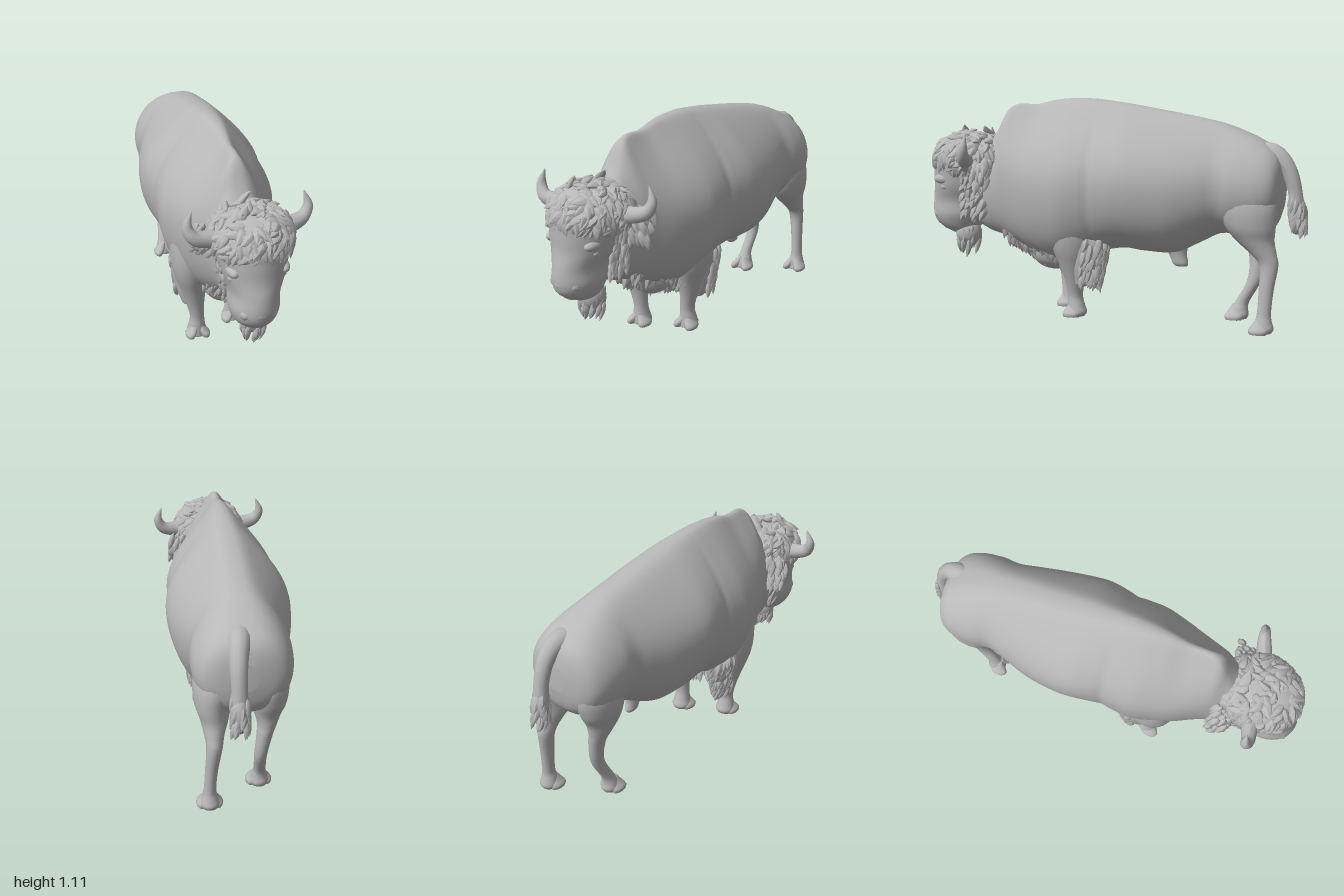
import * as THREE from 'three';
import { mergeGeometries } from 'three/addons/utils/BufferGeometryUtils.js';

const V = (x, y, z) => new THREE.Vector3(x, y, z);

export function createModel() {
  const model = new THREE.Group();
  model.name = 'bison';
  const grey = new THREE.MeshStandardMaterial({ color: 0xb8b8b8 });
  grey.name = 'stone grey';

  let seed = 7;
  const rnd = (a = 0, b = 1) => {
    seed = (seed * 16807) % 2147483647;
    return a + (b - a) * (seed / 2147483647);
  };
  const add = (name, geometry, parent = model) => {
    const mesh = new THREE.Mesh(geometry, grey);
    mesh.name = name;
    parent.add(mesh);
    return mesh;
  };

  // Catmull-Rom through rows of numbers
  const refine = (keys, n = 5) => {
    const out = [];
    for (let i = 0; i < keys.length - 1; i++) {
      const [a, b, c, d] = [keys[Math.max(i - 1, 0)], keys[i], keys[i + 1], keys[Math.min(i + 2, keys.length - 1)]];
      for (let k = 0; k < n; k++) {
        const t = k / n;
        out.push(b.map((_, j) => b[j] + 0.5 * t * (c[j] - a[j] + t * (2 * a[j] - 5 * b[j] + 4 * c[j] - d[j]
          + t * (3 * (b[j] - c[j]) + d[j] - a[j])))));
      }
    }
    out.push(keys[keys.length - 1]);
    return out;
  };

  // closed skin over rings of points, with both ends capped
  const skin = (rings) => {
    const n = rings[0].length, pos = [], idx = [], last = (rings.length - 1) * n;
    rings.flat().forEach((p) => pos.push(p.x, p.y, p.z));
    for (const r of [rings[0], rings[rings.length - 1]]) {
      const c = r.reduce((s, p) => s.add(p), V(0, 0, 0)).divideScalar(n);
      pos.push(c.x, c.y, c.z);
    }
    for (let j = 0; j < n; j++) {
      const k = (j + 1) % n;
      for (let i = 0; i < last; i += n) idx.push(i + j, i + n + j, i + k, i + k, i + n + j, i + n + k);
      idx.push(last + n, j, k, last + n + 1, last + k, last + j);
    }
    const g = new THREE.BufferGeometry();
    g.setAttribute('position', new THREE.Float32BufferAttribute(pos, 3));
    g.setIndex(idx);
    g.computeVertexNormals();
    return g;
  };

  // upright loft: rows are y, x, z, half width, half depth
  const column = (keys, n = 20) => skin(refine(keys).map(([y, x, z, rx, rz]) =>
    Array.from({ length: n }, (_, j) => {
      const a = (j / n) * Math.PI * 2;
      return V(x + rx * Math.cos(a), y, z - rz * Math.sin(a));
    })));

  // tube along a curve with a changing radius
  const taper = (points, radii, seg = 20, sides = 12) => {
    const curve = new THREE.CatmullRomCurve3(points.map((p) => V(...p)));
    const g = new THREE.TubeGeometry(curve, seg, 1, sides);
    const p = g.attributes.position, v = V();
    for (let i = 0; i < p.count; i++) {
      const t = Math.floor(i / (sides + 1)) / seg, f = t * (radii.length - 1);
      const k = Math.min(Math.floor(f), radii.length - 2);
      const c = curve.getPointAt(t);
      v.fromBufferAttribute(p, i).sub(c).multiplyScalar(THREE.MathUtils.lerp(radii[k], radii[k + 1], f - k)).add(c);
      p.setXYZ(i, v.x, v.y, v.z);
    }
    g.computeVertexNormals();
    return g;
  };

  const ball = (x, y, z, rx, ry, rz) =>
    new THREE.SphereGeometry(1, 20, 14).scale(rx, ry, rz).translate(x, y, z);

  // one curled, flattened clump of hair rooted at p, lying along d, facing n
  const lockShape = new THREE.LatheGeometry([[0, -0.15], [0.75, 0.02], [1, 0.35], [0.65, 0.72], [0, 1]]
    .map((p) => new THREE.Vector2(...p)), 7);
  const lp = lockShape.attributes.position;
  for (let i = 0; i < lp.count; i++) lp.setX(i, lp.getX(i) + lp.getY(i) ** 2);
  lockShape.computeVertexNormals();
  const lock = (p, d, n, w, len, thick) => {
    const y = d.clone().normalize(), x = y.clone().cross(n).normalize(), z = x.clone().cross(y);
    const m = new THREE.Matrix4().makeBasis(x, y, z).setPosition(p);
    return lockShape.clone().scale(w * rnd(0.75, 1.05), len, thick).applyMatrix4(m);
  };

  // trunk and neck: rows are z, bottom, top, half width, steepness of the back
  const trunk = [
    [0.76, 0.47, 0.84, 0.09, 0], [0.66, 0.42, 0.89, 0.12, 0.05], [0.61, 0.405, 0.96, 0.135, 0.25],
    [0.56, 0.39, 1.055, 0.155, 0.5], [0.5, 0.365, 1.088, 0.18, 0.72], [0.4, 0.32, 1.087, 0.225, 0.75],
    [0.3, 0.29, 1.11, 0.258, 0.7], [0.2, 0.29, 1.12, 0.282, 0.65], [0.1, 0.315, 1.12, 0.28, 0.6],
    [0.05, 0.335, 1.116, 0.274, 0.57], [0, 0.355, 1.11, 0.286, 0.56], [-0.1, 0.37, 1.097, 0.304, 0.53],
    [-0.2, 0.36, 1.08, 0.303, 0.5], [-0.35, 0.36, 1.055, 0.28, 0.44], [-0.48, 0.42, 1.03, 0.245, 0.37],
    [-0.57, 0.465, 1.01, 0.222, 0.3], [-0.66, 0.47, 0.98, 0.232, 0.24], [-0.76, 0.48, 0.935, 0.224, 0.12],
    [-0.83, 0.52, 0.89, 0.195, 0.05], [-0.865, 0.57, 0.84, 0.14, 0], [-0.882, 0.65, 0.77, 0.05, 0]];
  add('body', skin(refine(trunk).map(([z, b, t, w, f]) => Array.from({ length: 56 }, (_, j) => {
    const a = (j / 56) * Math.PI * 2, c = Math.cos(a), s = Math.sin(a), mid = b + 0.48 * (t - b);
    const k = Math.abs(c), side = s > 0 ? f * k ** 3.3 + (1 - f) * k ** 0.75 : k ** 0.85;
    return V(Math.sign(c) * w * side - 0.008, mid + s * (s > 0 ? t - mid : mid - b), z);
  }))));
  add('sheath', column([[0.42, 0, -0.33, 0.05, 0.08], [0.35, 0, -0.35, 0.032, 0.048],
    [0.3, 0, -0.365, 0.027, 0.04], [0.285, 0, -0.37, 0.016, 0.028]]));

  // legs, each ending in a flared cloven hoof
  const leg = (name, keys) => {
    const g = new THREE.Group();
    g.name = name;
    model.add(g);
    add('limb', column(keys), g);
    const [, x, z] = keys[keys.length - 1];
    for (const s of [-1, 1]) {
      add('toe', column([[0.085, x + s * 0.008, z + 0.005, 0.016, 0.025], [0.055, x + s * 0.02, z + 0.013, 0.023, 0.036],
        [0.03, x + s * 0.035, z + 0.018, 0.027, 0.046], [0.012, x + s * 0.038, z + 0.018, 0.022, 0.042]], 12), g);
    }
  };
  const foreleg = (name, s, x, z) => leg(name, [
    [0.76, x + s * 0.01, z, 0.02, 0.03], [0.68, x + s * 0.025, z + 0.005, 0.07, 0.09], [0.58, x + s * 0.037, z + 0.005, 0.09, 0.12],
    [0.46, x + s * 0.04, z, 0.09, 0.125], [0.37, x + s * 0.035, z, 0.08, 0.108],
    [0.28, x + s * 0.02, z, 0.063, 0.076], [0.2, x + s * 0.01, z, 0.046, 0.052],
    [0.12, x, z, 0.036, 0.039], [0.07, x, z - 0.005, 0.042, 0.044], [0.035, x, z - 0.01, 0.05, 0.05], [0.014, x, z - 0.005, 0.045, 0.045]]);
  foreleg('leftForeleg', 1, 0.09, 0.165);
  foreleg('rightForeleg', -1, -0.125, 0.275);
  // thigh, hock and shin; foot is the hoof's x, d swings the shin forward
  const hindleg = (name, s, foot, d) => leg(name, [
    [0.82, s * 0.08, -0.7, 0.02, 0.03], [0.74, s * 0.1, -0.71, 0.08, 0.11], [0.63, s * 0.12, -0.72, 0.096, 0.143],
    [0.53, s * 0.13, -0.735 + d * 0.1, 0.083, 0.125],
    [0.46, s * 0.125, -0.76 + d * 0.3, 0.066, 0.095], [0.4, s * 0.11 + foot * 0.12, -0.8 + d * 0.45, 0.047, 0.066],
    [0.34, s * 0.07 + foot * 0.4, -0.83 + d * 0.55, 0.037, 0.046], [0.22, foot * 0.95, -0.822 + d * 0.58, 0.03, 0.036],
    [0.11, foot, -0.815 + d * 0.88, 0.029, 0.034], [0.07, foot, -0.813 + d * 0.97, 0.037, 0.041],
    [0.035, foot, -0.815 + d, 0.045, 0.048], [0.014, foot, -0.81 + d, 0.04, 0.043]]);
  hindleg('leftHindleg', 1, 0.15, 0);
  hindleg('rightHindleg', -1, -0.1, 0.165);

  // tail with a hairy tip
  add('tail', taper([[0.01, 0.85, -0.72], [0.02, 0.87, -0.82], [0.03, 0.81, -0.89], [0.032, 0.71, -0.93],
    [0.03, 0.58, -0.945]], [0.06, 0.05, 0.04, 0.035, 0.04]));
  const tuft = [ball(0.03, 0.575, -0.948, 0.042, 0.095, 0.045)];
  for (let i = 0; i < 32; i++) {
    const a = rnd(0, 6.28), n = V(Math.cos(a), 0, Math.sin(a)), y = rnd(0.53, 0.66);
    tuft.push(lock(V(0.03 + n.x * 0.034, y, -0.99 + y * 0.07 + n.z * 0.034), V(n.x * 0.1, -1, n.z * 0.1 - 0.05), n, 0.018, 0.075, 0.012));
  }
  add('tailTuft', mergeGeometries(tuft));

  // head: face, eyes, nostrils, mouth, horns and ears
  const head = new THREE.Group();
  head.name = 'head';
  model.add(head);
  add('face', column([[0.92, 0, 0.78, 0.06, 0.08], [0.89, 0, 0.785, 0.13, 0.14], [0.82, 0, 0.79, 0.16, 0.185],
    [0.74, 0, 0.805, 0.155, 0.175], [0.66, 0, 0.815, 0.142, 0.165], [0.58, -0.003, 0.83, 0.115, 0.163],
    [0.51, -0.006, 0.845, 0.115, 0.15], [0.46, -0.008, 0.85, 0.1, 0.128], [0.425, -0.008, 0.84, 0.078, 0.095],
    [0.4, -0.008, 0.83, 0.045, 0.055]], 28), head);
  add('lip', ball(-0.008, 0.435, 0.9, 0.06, 0.022, 0.045), head);
  add('nose', ball(-0.008, 0.51, 0.93, 0.065, 0.05, 0.066), head);
  for (const s of [-1, 1]) {
    add('nostril', ball(s * 0.06 - 0.008, 0.505, 0.935, 0.026, 0.03, 0.036), head);
    add('brow', ball(s * 0.112, 0.695, 0.88, 0.03, 0.028, 0.06), head);
    add('eye', ball(s * 0.122, 0.655, 0.875, 0.011, 0.014, 0.022), head);
    const dz = -s * 0.045;
    add('horn', taper([[s * 0.11, 0.8, 0.75 + dz * 0.3], [s * 0.19, 0.803, 0.75 + dz * 0.6], [s * 0.26, 0.822, 0.745 + dz],
      [s * 0.287, 0.87, 0.735 + dz], [s * 0.268, 0.945, 0.73 + dz]], [0.045, 0.041, 0.034, 0.023, 0.002]), head);
    const ear = add('ear', new THREE.SphereGeometry(1, 14, 10).scale(0.07, 0.045, 0.02), head);
    ear.position.set(s * 0.18, 0.72, 0.64);
    ear.rotation.set(0, s * 0.4, -s * 0.35);
  }

  // curly mop over crown, forehead and cheeks
  const mop = [ball(0, 0.81, 0.77, 0.175, 0.118, 0.198)];
  for (let i = 0; i < 400; i++) {
    const a = rnd(0, 6.28), h = rnd(-0.75, 0.99), r = Math.sqrt(1 - h * h);
    const n = V(r * Math.cos(a), h, r * Math.sin(a));
    const p = V(n.x * 0.175, 0.81 + n.y * 0.118, 0.77 + n.z * 0.198);
    const d = V(n.x * 0.5 + rnd(-0.8, 0.8), -0.8 + h * 0.4, n.z * 0.5 + rnd(-0.8, 0.8));
    d.addScaledVector(n, 0.1 - d.dot(n));
    mop.push(lock(p, d, n, rnd(0.02, 0.036), rnd(0.05, 0.08), 0.015));
  }
  for (const s of [-1, 1]) {
    for (let i = 0; i < 45; i++) {
      const n = V(s, 0, -0.4).normalize(), y = rnd(0.54, 0.78);
      mop.push(lock(V(s * (0.03 + y * 0.14), y, rnd(0.655, 0.77)), V(s * rnd(-0.1, 0.2), -1, rnd(-0.3, 0.3)), n, 0.026, rnd(0.05, 0.08), 0.016));
    }
    // fringe flaring back around the ears
    for (let i = 0; i < 30; i++)
      mop.push(lock(V(s * rnd(0.14, 0.22), rnd(0.69, 0.81), rnd(0.6, 0.68)), V(s * 0.3, -1, -0.3), V(s, 0.2, 0), 0.024, rnd(0.06, 0.09), 0.016));
  }
  add('headHair', mergeGeometries(mop), head);

  // beard under the chin
  const beard = [ball(0.01, 0.4, 0.795, 0.065, 0.075, 0.07)];
  for (let i = 0; i < 50; i++) {
    const a = rnd(0, 6.28), n = V(Math.cos(a), 0, Math.sin(a));
    beard.push(lock(V(0.01 + n.x * 0.056, rnd(0.35, 0.44), 0.795 + n.z * 0.06), V(-n.x * 0.25, -1, -n.z * 0.25), n, 0.017, rnd(0.06, 0.085), 0.013));
  }
  add('beard', mergeGeometries(beard), head);

  // shaggy chest between neck and forelegs
  const chest = [ball(-0.01, 0.33, 0.31, 0.1, 0.1, 0.13)];
  for (let i = 0; i < 150; i++) {
    const z = rnd(0.2, 0.56), s = rnd(-1, 1), w = 0.07 + (0.62 - z) * 0.2;
    const y = 0.4 - Math.max(0, 0.55 - z) * 0.42 + s * s * 0.09;
    chest.push(lock(V(s * w - 0.01, y, z), V(s * 0.1, -1, rnd(-0.5, 0)), V(s, 0, 0.6), 0.022, rnd(0.06, 0.09), 0.016));
  }
  add('chestHair', mergeGeometries(chest));

  // shaggy chaps behind the forelegs
  for (const [name, s, x, z] of [['leftChaps', 1, 0.12, 0.165], ['rightChaps', -1, -0.16, 0.275]]) {
    const hair = [column([[0.5, x, z - 0.03, 0.05, 0.07], [0.42, x, z - 0.07, 0.075, 0.1], [0.33, x, z - 0.085, 0.072, 0.1],
      [0.25, x, z - 0.07, 0.055, 0.075], [0.18, x, z - 0.05, 0.03, 0.04]])];
    for (let i = 0; i < 95; i++) {
      const a = rnd(0.1, Math.PI), n = V(s * Math.cos(a), 0, -Math.sin(a)), y = rnd(0.22, 0.43);
      const k = 0.6 + (y - 0.22) * 1.7;
      const p = V(x + n.x * 0.08 * k, y, z - 0.06 + n.z * 0.13 * k);
      hair.push(lock(p, V(n.x * 0.05, -1, n.z * 0.05), n, 0.023, rnd(0.06, 0.09), 0.015));
    }
    add(name, mergeGeometries(hair.map((g) => { g.deleteAttribute('uv'); return g; })));
  }
  return model;
}
